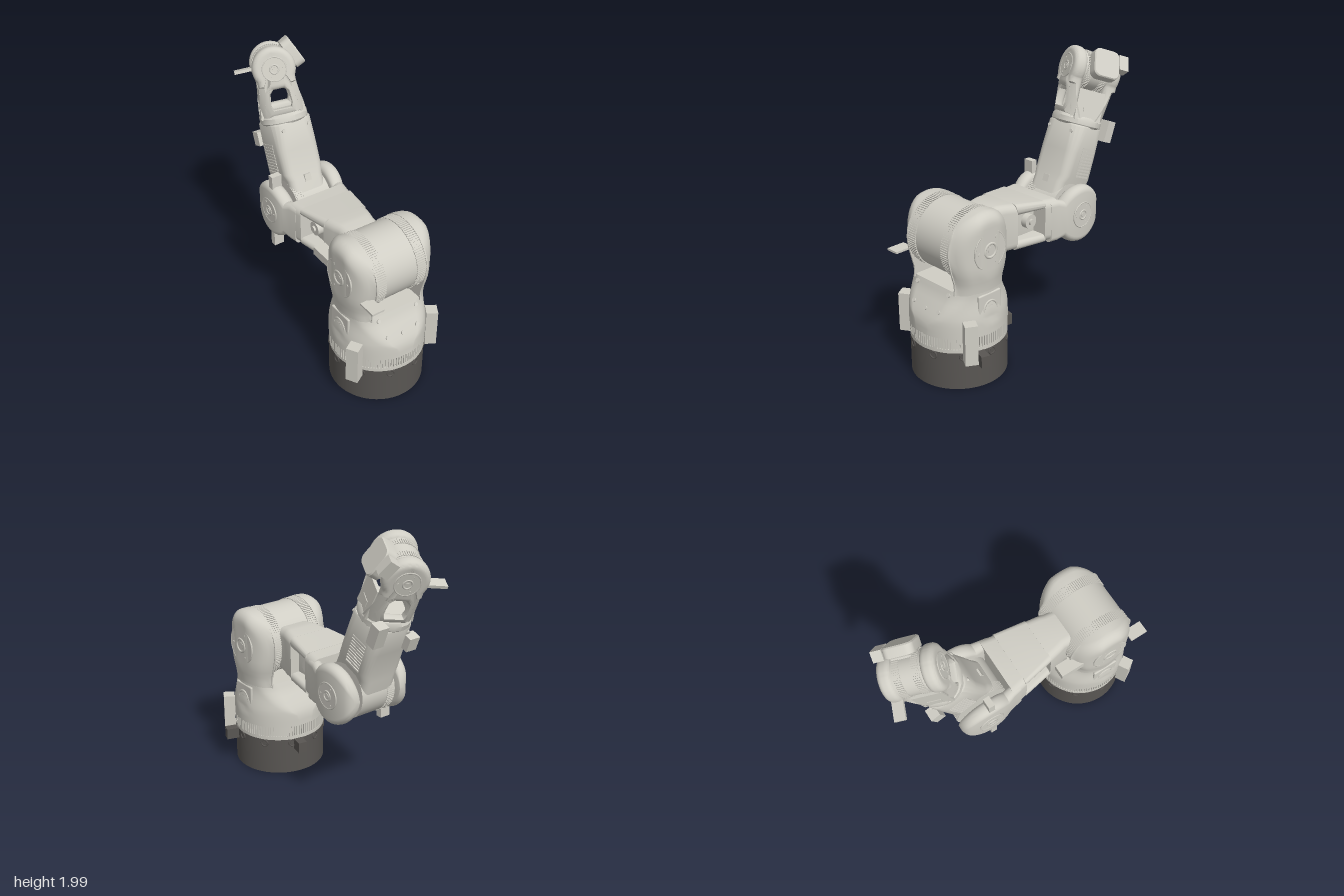
import * as THREE from 'three';
import { mergeGeometries, toCreasedNormals } from 'three/addons/utils/BufferGeometryUtils.js';
import { RoundedBoxGeometry } from 'three/addons/geometries/RoundedBoxGeometry.js';

const shell = new THREE.MeshStandardMaterial({ color: 0xd0cec5 });
shell.name = 'warm grey shell';
const dark = new THREE.MeshStandardMaterial({ color: 0x595653 });
dark.name = 'dark grey';
const { PI, sin, cos, sqrt, min, max, hypot, abs } = Math;

function add(parent, name, geo, mat, pos = [0, 0, 0], rot = [0, 0, 0]) {
  const m = new THREE.Mesh(geo, mat);
  m.name = name;
  m.position.set(...pos);
  m.rotation.set(...rot);
  parent.add(m);
  return m;
}
function group(parent, name, pos, rot = [0, 0, 0]) {
  const g = new THREE.Group();
  g.name = name;
  g.position.set(...pos);
  g.rotation.set(...rot);
  parent.add(g);
  return g;
}
const box = (x, y, z) => new THREE.BoxGeometry(x, y, z);
const cyl = (r, h, n = 48) => new THREE.CylinderGeometry(r, r, h, n);

// Skin over a stack of equal-length loops, capped at both ends and facing outward
function loft(rings, crease = 0.6) {
  const n = rings[0].length, pts = rings.flat(), idx = [];
  for (let i = 0; i < rings.length - 1; i++)
    for (let j = 0; j < n; j++) {
      const a = i * n + j, b = i * n + (j + 1) % n;
      idx.push(a, b, b + n, a, b + n, a + n);
    }
  [0, rings.length - 1].forEach((k) => {
    const c = [0, 1, 2].map((q) => rings[k].reduce((s, p) => s + p[q], 0) / n);
    pts.push(c);
    for (let j = 0; j < n; j++) {
      const a = k * n + j, b = k * n + (j + 1) % n;
      idx.push(pts.length - 1, ...(k ? [a, b] : [b, a]));
    }
  });
  let vol = 0;
  const v = pts.map((p) => new THREE.Vector3(...p));
  for (let i = 0; i < idx.length; i += 3)
    vol += v[idx[i]].dot(v[idx[i + 1]].clone().cross(v[idx[i + 2]]));
  if (vol < 0) idx.reverse();
  const g = new THREE.BufferGeometry();
  g.setAttribute('position', new THREE.Float32BufferAttribute(pts.flat(), 3));
  g.setIndex(idx);
  return toCreasedNormals(g, crease);
}
// Rounded rectangle loop at depth z
function roundRect(z, cx, cy, hx, hy, r) {
  r = min(r, hx * 0.98, hy * 0.98);
  const out = [];
  for (let q = 0; q < 4; q++)
    for (let i = 0; i <= 5; i++) {
      const t = (q + i / 5) * PI / 2;
      const sx = q === 0 || q === 3 ? 1 : -1, sy = q < 2 ? 1 : -1;
      out.push([cx + sx * (hx - r) + r * cos(t), cy + sy * (hy - r) + r * sin(t), z]);
    }
  return out;
}
// Band of fine fins round the y axis
function finBand(parent, name, r, h, n, pos, rot) {
  const g = group(parent, name, pos, rot);
  add(g, 'bandGroove', cyl(r - 0.01, h), shell);
  const fins = [];
  for (let i = 0; i < n; i++)
    fins.push(box(0.02, h, 2 * PI * r / n * 0.65).translate(r - 0.01, 0, 0).rotateY(i / n * 2 * PI));
  add(g, 'fins', mergeGeometries(fins), shell);
}
// Round bearing cover with hub and bolts, facing along x
function bearing(parent, name, r, pos, side) {
  const g = group(parent, name, pos, [0, 0, -side * PI / 2]);
  add(g, 'coverDisc', cyl(r, 0.012), shell);
  add(g, 'coverRim', new THREE.TorusGeometry(r, 0.005, 8, 48), shell, [0, 0.003, 0], [PI / 2, 0, 0]);
  add(g, 'hub', new THREE.TorusGeometry(r * 0.36, r * 0.08, 10, 32), shell, [0, 0.004, 0], [PI / 2, 0, 0]);
  add(g, 'hubPin', cyl(r * 0.18, 0.008, 24), shell, [0, 0.006, 0]);
  for (let i = 0; i < 3; i++) {
    const t = PI / 6 + i * 2 * PI / 3;
    add(g, 'bolt', cyl(r * 0.07, 0.008, 12), shell, [r * 0.74 * cos(t), 0.006, r * 0.74 * sin(t)]);
  }
}

// Turret outline: a round plan clipped to half depth w(y), with filleted edges
const WAIST = [[0.37, 0.325], [0.45, 0.322], [0.5, 0.298], [0.56, 0.262], [0.62, 0.225], [0.68, 0.2], [0.74, 0.205], [0.82, 0.228], [0.9, 0.246], [0.95, 0.25]];
function depthAt(y) {
  if (y >= 0.95) return sqrt(max(0, 0.0625 - (y - 0.95) ** 2)) + 1e-4;
  const i = max(1, WAIST.findIndex((p) => p[0] >= y));
  const [a, b] = [WAIST[i - 1], WAIST[i]];
  return a[1] + (b[1] - a[1]) * (y - a[0]) / (b[0] - a[0]);
}
function outerEdge(y, inner) {
  const w = depthAt(y), N = 24, out = [];
  const f = 0.075 * min(1, max(0, (y - 0.45) / 0.2));
  const R = 0.328 - 0.025 * sin(PI * min(1, max(0, (y - 0.45) / 0.4))) ** 2;
  for (let i = 0; i <= N; i++) {
    const z = -w * cos(i / N * PI);
    const inset = y > 0.95 ? 0.25 - hypot(z, y - 0.95) : w - abs(z);
    const k = f > 0 ? min(1, max(0, 1 - inset / f)) : 0;
    const x = min(sqrt(max(0, R * R - z * z)), y > 0.45 ? 0.318 : 1) - f * (1 - sqrt(1 - k * k));
    out.push([max(inner, x), y, z]);
  }
  return out;
}
const flip = (loop) => loop.map(([x, y, z]) => [-x, y, -z]);

function buildBase(root) {
  // Hollow pedestal
  const prof = [[0.001, 0.2], [0.2, 0.2], [0.27, 0.16], [0.27, 0], [0.325, 0], [0.325, 0.27], [0.001, 0.27]];
  const g = toCreasedNormals(new THREE.LatheGeometry(prof.map((p) => new THREE.Vector2(...p)), 72), 0.5);
  add(root, 'pedestal', g, dark);
  add(root, 'pedestalHub', cyl(0.07, 0.08), dark, [0, 0.17, 0]);
  for (let i = 0; i < 10; i++) {
    const t = i * PI / 5 + 0.3;
    add(root, 'pedestalBolt', new THREE.TorusGeometry(0.024, 0.006, 8, 20), dark, [0.324 * sin(t), 0.238, 0.324 * cos(t)], [0, t, 0]);
  }
  add(root, 'clampSide', box(0.09, 0.08, 0.06), dark, [-0.35, 0.23, -0.11], [0, -0.3, 0]);
  add(root, 'clampFront', box(0.065, 0.08, 0.09), dark, [-0.07, 0.23, 0.355], [0, -0.2, 0]);
  // Turning collar
  add(root, 'collar', cyl(0.326, 0.025, 72), shell, [0, 0.28, 0]);
  finBand(root, 'collarFins', 0.326, 0.08, 110, [0, 0.33, 0]);
}

function buildTurret(root) {
  const ys = [0.37, 0.41, 0.45, 0.48, 0.5, 0.53, 0.56, 0.59, 0.62, 0.65, 0.68];
  add(root, 'turretBody', loft(ys.map((y) => [...outerEdge(y, 0), ...flip(outerEdge(y, 0))])), shell);
  const lobeYs = [0.66, 0.7, 0.74, 0.78, 0.82, 0.86, 0.9, 0.95];
  for (let i = 1; i <= 12; i++) lobeYs.push(0.95 + 0.25 * sin(i / 12 * PI / 2));
  const rings = lobeYs.map((y) => {
    const e = outerEdge(y, 0.2);
    return [...e, [0.19, y, e[e.length - 1][2]], [0.19, y, e[0][2]]];
  });
  for (const s of [1, -1]) {
    add(root, 'shoulderLobe', loft(s > 0 ? rings : rings.map(flip)), shell);
    bearing(root, 'shoulderBearing', 0.13, [s * 0.31, 0.95, 0], s);
    finBand(root, 'shoulderFins', 0.247, 0.07, 100, [s * 0.155, 0.95, 0], [0, 0, PI / 2]);
    // Side hatch with round port
    add(root, 'sideHatch', new RoundedBoxGeometry(0.02, 0.24, 0.19, 2, 0.009), shell, [s * 0.298, 0.53, 0]);
    add(root, 'hatchPort', new THREE.TorusGeometry(0.055, 0.008, 8, 32), shell, [s * 0.307, 0.54, 0], [0, PI / 2, 0]);
    add(root, 'hatchPin', cyl(0.026, 0.012, 20), shell, [s * 0.307, 0.54, 0], [0, 0, PI / 2]);
    add(root, 'sideBlock', box(0.08, 0.28, 0.085), shell, [s * 0.318, 0.36, -0.185], [0, s * 0.53, 0]);
  }
  add(root, 'shoulderDrum', cyl(0.24, 0.39, 72), shell, [0, 0.95, 0], [0, 0, PI / 2]);
  add(root, 'drumTab', box(0.09, 0.014, 0.13), shell, [0.25, 0.867, -0.27]);
  // Screws on the sloping rear
  for (const [x, y, z] of [[0, 0.53, 0.28], [0.12, 0.54, 0.274], [-0.12, 0.54, 0.274], [0.15, 0.65, 0.212], [-0.15, 0.65, 0.212]])
    add(root, 'rearScrew', cyl(0.014, 0.016, 16), shell, [x, y, -z], [-PI / 3, 0, 0]);
}

function buildUpperArm(root) {
  const arm = group(root, 'upperArm', [0, 0, 0]);
  const part = (name, rows, r) => add(arm, name, loft(rows.map(([z, y, hx, hy]) => roundRect(z, 0, y, hx, hy, r))), shell);
  part('armRoot', [[0.15, 0.94, 0.135, 0.15], [0.26, 0.94, 0.14, 0.167], [0.3, 0.937, 0.152, 0.169], [0.39, 0.931, 0.169, 0.164]], 0.055);
  part('armYoke', [[0.61, 0.917, 0.21, 0.15], [0.68, 0.912, 0.224, 0.15], [0.72, 0.91, 0.232, 0.15]], 0.055);
  // Open side windows: a thin core between two rails
  part('windowCore', [[0.38, 0.925, 0.1, 0.13], [0.62, 0.918, 0.1, 0.13]], 0.02);
  part('topRail', [[0.385, 1.055, 0.168, 0.04], [0.615, 1.04, 0.21, 0.028]], 0.035);
  part('bottomRail', [[0.385, 0.799, 0.168, 0.032], [0.615, 0.797, 0.21, 0.03]], 0.035);
  // Fork prongs ending in round elbows
  const prong = [[0.66, 0.222, 0.149], [0.72, 0.234, 0.15]];
  for (let i = 0; i <= 16; i++) {
    const t = -0.85 + i / 16 * (PI / 2 + 0.85);
    prong.push([0.925 + 0.202 * sin(t), 0.27 - 0.025 * t * t - (t > 1 ? 0.03 * (t - 1) : 0), 0.202 * cos(t) + 0.002]);
  }
  for (const s of [1, -1]) {
    add(arm, 'forkProng', loft(prong.map(([z, xo, hy]) => {
      const xi = 0.149 + 0.018 * min(1, (z - 0.66) / 0.25);
      return roundRect(z, s * (xo + xi) / 2, 0.9, (xo - xi) / 2, hy, 0.045);
    })), shell);
    bearing(arm, 'elbowBearing', 0.088, [s * 0.266, 0.9, 0.925], s);
    add(arm, 'windowHub', cyl(0.05, 0.05, 32), shell, [s * 0.12, 0.925, 0.54], [0, 0, PI / 2]);
    add(arm, 'windowPin', cyl(0.022, 0.08, 20), shell, [s * 0.12, 0.925, 0.54], [0, 0, PI / 2]);
  }
  add(arm, 'flankBlock', box(0.09, 0.06, 0.2), shell, [0.225, 0.91, 0.26]);
  for (const y of [1.12, 0.67]) add(arm, 'elbowTab', box(0.075, 0.13, 0.045), shell, [0.22, y, 0.91]);
}

function buildForearm(root) {
  const arm = group(root, 'forearm', [0, 0.9, 0.925], [20.7 * PI / 180, 0, 0]);
  add(arm, 'elbowDrum', cyl(0.188, 0.27, 64), shell, [0, 0, 0], [0, 0, PI / 2]);
  finBand(arm, 'elbowFins', 0.193, 0.06, 80, [0.1, 0, 0], [0, 0, PI / 2]);
  const secs = [[0, 0.133, 0.175, 0.05], [0.18, 0.135, 0.157, 0.05], [0.23, 0.152, 0.148, 0.055], [0.4, 0.155, 0.148, 0.065], [0.58, 0.16, 0.155, 0.1], [0.59, 0.155, 0.15, 0.1]];
  add(arm, 'forearmShell', loft(secs.map(([z, hx, hy, r]) => roundRect(z, 0, 0, hx, hy, r))).rotateX(-PI / 2), shell);
  for (const s of [1, -1]) {
    // Cooling ribs
    for (let i = 0; i < 10; i++)
      add(arm, 'coolingRib', box(0.012, 0.011, 0.13), shell, [s * 0.154, 0.24 + i * 0.022, 0.02]);
    for (const x of [0.1, -0.1]) add(arm, 'screw', cyl(0.012, 0.012, 14), shell, [x, 0.54, s * 0.15], [PI / 2, 0, 0]);
  }
  add(arm, 'rearBlockLeft', box(0.08, 0.1, 0.07), shell, [0.125, 0.47, 0.165]);
  add(arm, 'rearBlockRight', box(0.08, 0.15, 0.075), shell, [-0.16, 0.59, 0.145]);
  add(arm, 'cableClip', box(0.05, 0.05, 0.02), shell, [0, 0.18, -0.155]);
  buildWrist(arm);
}

function buildWrist(arm) {
  const wrist = group(arm, 'wrist', [0, 0, 0], [0, 66 * PI / 180, 0]);
  add(wrist, 'wristCollar', loft([[0.58, 0.155], [0.595, 0.166], [0.63, 0.166], [0.65, 0.155]].map(([z, h]) => roundRect(z, 0, 0, h, h, 0.14))).rotateX(-PI / 2), shell);
  // Side cheeks with a round head and an open window
  const s = new THREE.Shape();
  s.moveTo(-0.16, 0.61).lineTo(0.16, 0.61);
  s.bezierCurveTo(0.16, 0.72, 0.125, 0.78, 0.129, 0.893);
  s.absarc(0, 0.965, 0.147, -0.5, PI + 0.5, false);
  s.bezierCurveTo(-0.125, 0.78, -0.16, 0.72, -0.16, 0.61);
  const hole = new THREE.Path();
  hole.moveTo(-0.06, 0.69).lineTo(0.06, 0.69).lineTo(0.07, 0.72).lineTo(0.06, 0.8);
  hole.lineTo(0.035, 0.825).lineTo(-0.035, 0.825).lineTo(-0.06, 0.8).lineTo(-0.07, 0.72);
  s.holes.push(hole);
  const raw = new THREE.ExtrudeGeometry(s, { depth: 0.02, bevelThickness: 0.038, bevelSize: 0.038, bevelOffset: -0.038, bevelSegments: 6, curveSegments: 32 })
    .translate(0, 0, -0.01).rotateY(PI / 2).translate(0.136, 0, 0);
  // Pull the neck of the cheek in to the round collar
  const p = raw.attributes.position;
  for (let i = 0; i < p.count; i++) {
    const limit = 0.168 + 0.1 * max(0, p.getY(i) - 0.63), z = p.getZ(i);
    if (p.getY(i) < 0.86) p.setX(i, min(p.getX(i), sqrt(max(0.0016, limit * limit - z * z))));
  }
  const cheek = toCreasedNormals(raw, 0.6);
  for (const k of [1, -1]) {
    add(wrist, 'wristCheek', cheek, shell, [0, 0, 0], [0, k > 0 ? 0 : PI, 0]);
    bearing(wrist, 'wristBearing', 0.08, [k * 0.18, 0.965, 0], k);
    add(wrist, 'wristWall', box(0.2, 0.21, 0.025), shell, [0, 0.73, k * 0.13], [-k * 0.13, 0, 0]);
    finBand(wrist, 'wristFins', 0.136, 0.045, 60, [k * 0.06, 0.965, 0], [0, 0, PI / 2]);
    add(wrist, 'dataPort', box(0.09, 0.035, 0.012), shell, [0, 0.7, k * 0.145], [-k * 0.13, 0, 0]);
  }
  add(wrist, 'wristDrum', cyl(0.131, 0.2), shell, [0, 0.965, 0], [0, 0, PI / 2]);
  add(wrist, 'wristTab', box(0.075, 0.02, 0.13), shell, [-0.135, 0.95, 0.195]);
  add(wrist, 'wristBlock', box(0.07, 0.11, 0.07), shell, [-0.155, 1.055, -0.14], [0.5, 0, 0]);
  // Tool flange
  const tool = group(wrist, 'toolHead', [0, 0.965, 0], [205 * PI / 180, 0, 0]);
  add(tool, 'toolNeck', box(0.13, 0.14, 0.1), shell, [-0.02, 0, 0.11]);
  const flange = loft([[0.125, 0.09], [0.132, 0.098], [0.192, 0.098], [0.2, 0.092]].map(([z, h]) => roundRect(z, -0.025, 0.01, h, h + 0.005, 0.045)));
  add(tool, 'toolFlange', flange, shell);
}

export function createModel() {
  const model = new THREE.Group();
  model.name = 'robotArm';
  const turret = group(model, 'turningArm', [0.29, 0, 0.42], [0, 214.8 * PI / 180, 0]);
  buildBase(turret);
  buildTurret(turret);
  buildUpperArm(turret);
  buildForearm(turret);
  return model;
}
